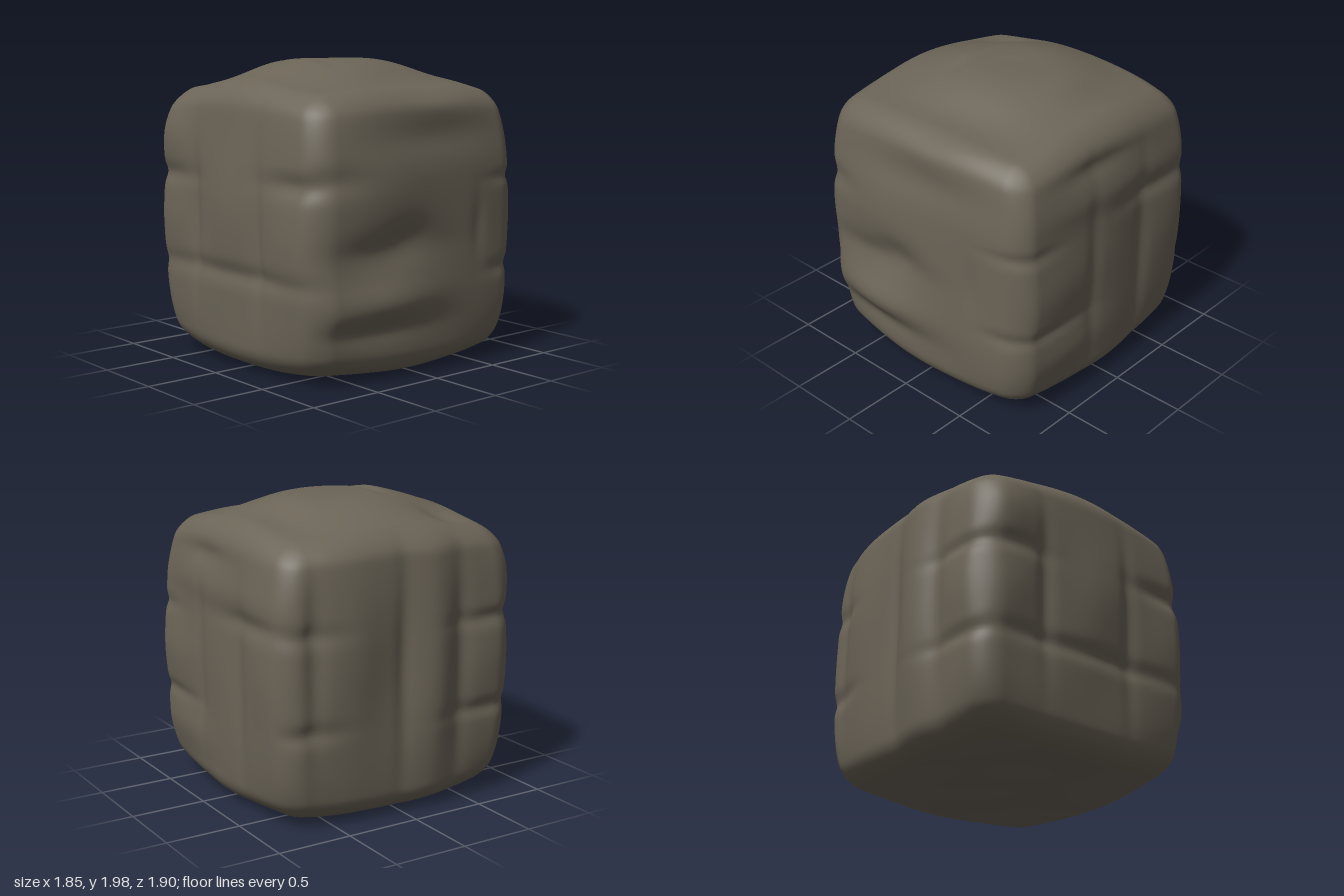
import * as THREE from 'three';
import { mergeVertices } from 'three/addons/utils/BufferGeometryUtils.js';

// Bumps and grooves per face: [centreU, centreV, radiusU, radiusV, height].
// Side faces use (x or z, y); top and bottom use (x, z).
const RELIEF = {
  front: [
    [-0.38, 1.2, 0.4, 0.35, 0.055], [-0.35, 0.51, 0.42, 0.15, 0.075], [0.2, 1.0, 0.5, 0.6, 0.015],
    [-0.3, 0.83, 0.4, 0.1, -0.03], [-0.15, 0.92, 0.18, 0.1, -0.025], [-0.4, 0.34, 0.4, 0.08, -0.03],
    [0.1, 1.52, 0.5, 0.12, -0.025], [0.48, 0.92, 0.06, 0.2, -0.012], [0.8, 1.22, 0.2, 0.04, -0.015],
    [0.8, 0.62, 0.2, 0.05, -0.02], [-0.8, 1.28, 0.25, 0.08, -0.025], [0.95, 1, 0.35, 1.2, -0.03],
    [-0.95, 1, 0.25, 1.2, -0.02],
  ],
  back: [
    [-0.2, 1.0, 0.15, 0.8, 0.065], [0.4, 1.0, 0.2, 0.7, 0.035], [-0.65, 0.95, 0.2, 0.25, 0.03],
    [0.02, 1.0, 0.06, 0.7, -0.025], [0.66, 1.1, 0.07, 0.5, -0.03], [-0.42, 1.0, 0.07, 0.7, -0.025],
    [-0.7, 1.22, 0.3, 0.05, -0.025], [-0.7, 0.62, 0.35, 0.05, -0.025], [0.75, 0.64, 0.25, 0.06, -0.025],
    [0.75, 1.25, 0.25, 0.06, -0.02],
  ],
  left: [
    [0.5, 0.9, 0.35, 0.25, 0.035], [-0.6, 0.95, 0.25, 0.35, 0.03], [-0.05, 0.9, 0.2, 0.7, 0.02],
    [0.18, 0.9, 0.06, 0.6, -0.015], [-0.32, 0.8, 0.07, 0.6, -0.02], [0.6, 0.62, 0.3, 0.045, -0.02],
    [0.8, 1.21, 0.25, 0.045, -0.02], [-0.5, 1.27, 0.35, 0.06, -0.025], [0.15, 1.63, 0.3, 0.07, -0.025],
    [0.45, 0.4, 0.35, 0.15, 0.025], [0, 1.43, 0.7, 0.1, 0.015],
  ],
  right: [
    [0, 1.05, 0.28, 0.4, 0.04], [-0.65, 0.95, 0.2, 0.25, 0.03], [-0.65, 1.5, 0.2, 0.22, 0.045],
    [0.6, 0.9, 0.25, 0.3, 0.025], [-0.38, 1.0, 0.06, 0.5, -0.03], [0.3, 0.95, 0.06, 0.55, -0.025],
    [-0.7, 1.23, 0.3, 0.06, -0.025], [0.7, 1.25, 0.3, 0.07, -0.035], [0, 0.64, 0.9, 0.06, -0.025],
  ],
  top: [
    [-0.3, 0.05, 0.1, 0.15, 0.012], [0.1, 0.55, 0.4, 0.16, -0.035], [-0.5, -0.52, 0.14, 0.14, -0.035],
    [0.55, -0.25, 0.12, 0.25, -0.025], [-0.24, 0.0, 0.04, 0.25, -0.012], [0.1, 0.85, 0.25, 0.12, -0.025],
    [0, -0.85, 0.6, 0.15, -0.015],
  ],
  bottom: [[-0.1, 0, 0.3, 0.5, 0.015], [0.1, -0.5, 0.5, 0.3, 0.01]],
};

// Height of a face: a slight swell plus its bumps and grooves
function relief(face, u, v) {
  let h = 0;
  for (const [cu, cv, ru, rv, height] of RELIEF[face]) {
    h += height * Math.exp(-(((u - cu) / ru) ** 2) - ((v - cv) / rv) ** 2);
  }
  return h;
}

function swell(u, v) {
  return 0.025 * Math.max(0, 1 - u ** 4) * Math.max(0, 1 - v ** 4);
}

// Broad mound that raises the upper face
function mound(x, z) {
  const r = (x / 0.66) ** 2 + ((z + 0.04) / 0.6) ** 2;
  return 0.168 * Math.exp(-(r ** 1.6));
}

function stoneGeometry() {
  const half = new THREE.Vector3(0.862, 0.9, 0.855);
  const radius = 0.15;
  const middle = 0.925;
  const inner = half.clone().subScalar(radius);
  const innerMin = inner.clone().negate();
  let geometry = new THREE.BoxGeometry(half.x * 2, half.y * 2, half.z * 2, 72, 72, 72);
  geometry.deleteAttribute('uv');
  geometry.deleteAttribute('normal');
  geometry = mergeVertices(geometry);

  const pos = geometry.attributes.position;
  const p = new THREE.Vector3();
  const n = new THREE.Vector3();
  for (let i = 0; i < pos.count; i++) {
    // Round the edges of the block
    p.fromBufferAttribute(pos, i);
    n.copy(p);
    p.clamp(innerMin, inner);
    n.sub(p).normalize();
    p.addScaledVector(n, radius);

    // Wear away the eight corners
    const [a, b, c] = [p.x / half.x, p.y / half.y, p.z / half.z];
    const wear = Math.abs(a * b * b * c) ** 2;
    p.x -= 0.11 * a * wear;
    p.y -= 0.07 * b * wear;
    p.z -= 0.11 * c * wear;
    p.y += middle;

    // Push each face in and out along its own axis
    const { x, y, z } = p;
    p.x += n.x * (relief(n.x > 0 ? 'left' : 'right', z, y) + swell(c, b));
    p.z += n.z * (relief(n.z > 0 ? 'front' : 'back', x, y) + swell(a, b));
    p.y += n.y > 0 ? n.y * (relief('top', x, z) + mound(x, z)) : n.y * relief('bottom', x, z);

    // Fine unevenness over the whole stone
    const ripple = Math.sin(5 * x + 2 * y + 1) * Math.sin(4 * y - 3 * z) * Math.sin(5 * z + 2 * x + 2);
    p.addScaledVector(n, 0.008 * ripple);
    pos.setXYZ(i, p.x, p.y, p.z);
  }

  // Stand centred on the ground
  geometry.computeBoundingBox();
  const box = geometry.boundingBox;
  const centre = box.getCenter(new THREE.Vector3());
  geometry.translate(-centre.x, -box.min.y, -centre.z);
  geometry.computeVertexNormals();
  return geometry;
}

export function createModel() {
  const model = new THREE.Group();
  model.name = 'stoneBlock';
  const material = new THREE.MeshStandardMaterial({ color: 0x6b6457 });
  material.name = 'brown grey stone';
  const stone = new THREE.Mesh(stoneGeometry(), material);
  stone.name = 'stone';
  model.add(stone);
  return model;
}
